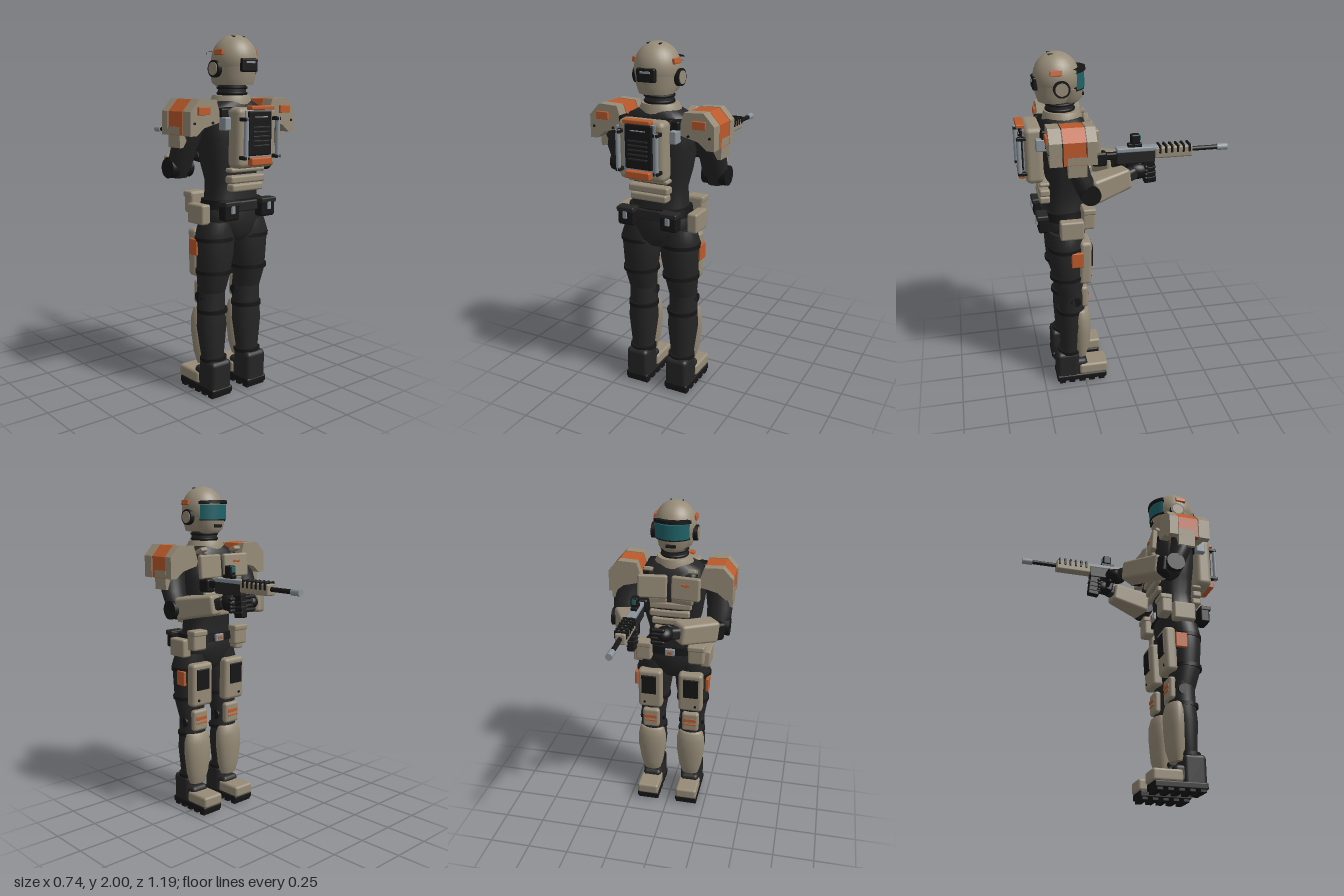
import * as THREE from 'three';
import { RoundedBoxGeometry } from 'three/addons/geometries/RoundedBoxGeometry.js';

const M = {};
for (const [name, color] of Object.entries({
  tan: 0x968b77, dark: 0x252526, black: 0x161617, orange: 0xbc5a2a, steel: 0x8a939a, teal: 0x1f6268,
})) M[name] = Object.assign(new THREE.MeshStandardMaterial({ color }), { name });

export function createModel() {
  const root = new THREE.Group();
  root.name = 'armouredSoldier';

  function add(name, geo, mat, x = 0, y = 0, z = 0, rx = 0, ry = 0, rz = 0) {
    const m = new THREE.Mesh(geo, mat);
    m.name = name;
    m.position.set(x, y, z);
    m.rotation.set(rx, ry, rz);
    root.add(m);
    return m;
  }
  // Rounded box given by centre and size
  const box = (name, mat, x, y, z, w, h, d, r = 0.01, ...rot) =>
    add(name, new RoundedBoxGeometry(w, h, d, 2, Math.min(r, w / 2.1, h / 2.1, d / 2.1)), mat, x, y, z, ...rot);
  const cyl = (name, mat, x, y, z, r0, r1, h, ...rot) =>
    add(name, new THREE.CylinderGeometry(r0, r1, h, 20), mat, x, y, z, ...rot);

  // Loft through rounded cross-sections [y, cx, cz, rx, rz], bottom to top
  function loft(name, mat, secs, power = 1, n = 28) {
    const pos = [], idx = [];
    const ring = ([y, cx, cz, rx, rz]) => {
      for (let j = 0; j < n; j++) {
        const a = (j / n) * Math.PI * 2, c = Math.cos(a), s = Math.sin(a);
        pos.push(cx + rx * Math.sign(c) * Math.abs(c) ** power, y, cz + rz * Math.sign(s) * Math.abs(s) ** power);
      }
    };
    secs.forEach(ring);
    for (let i = 0; i < secs.length - 1; i++) for (let j = 0; j < n; j++) {
      const a = i * n + j, b = i * n + (j + 1) % n;
      idx.push(a, a + n, b, b, a + n, b + n);
    }
    for (const top of [false, true]) {
      const s = top ? secs[secs.length - 1] : secs[0], base = pos.length / 3;
      ring(s);
      pos.push(s[1], s[0], s[2]);
      for (let j = 0; j < n; j++) {
        const a = base + j, b = base + (j + 1) % n;
        idx.push(base + n, top ? b : a, top ? a : b);
      }
    }
    const g = new THREE.BufferGeometry();
    g.setAttribute('position', new THREE.Float32BufferAttribute(pos, 3));
    g.setIndex(idx);
    g.computeVertexNormals();
    return add(name, g, mat);
  }
  // Polygon in x,y extruded from z0 to z1; side s mirrors it
  function slab(name, mat, pts, z0, z1, s, k = 1) {
    const shape = new THREE.Shape(pts.map(([x, y]) => new THREE.Vector2(s * (0.27 + (x - 0.27) * k), 1.57 + (y - 1.57) * k)));
    return add(name, new THREE.ExtrudeGeometry(shape, { depth: z1 - z0, bevelEnabled: false }), mat, 0, 0, z0);
  }
  // Tapered rounded beam between two points
  function beam(name, mat, a, b, w0, w1, h0, h1, r = 0.02) {
    const A = new THREE.Vector3(...a), B = new THREE.Vector3(...b), L = A.distanceTo(B);
    const g = new RoundedBoxGeometry(1 * w0, h0, L, 3, r), p = g.attributes.position;
    for (let i = 0; i < p.count; i++) {
      const t = p.getZ(i) / L + 0.5;
      p.setX(i, p.getX(i) * (1 + t * (w1 / w0 - 1)));
      p.setY(i, p.getY(i) * (1 + t * (h1 / h0 - 1)));
    }
    const m = add(name, g, mat);
    m.position.copy(A).lerp(B, 0.5);
    m.lookAt(B);
  }
  const ball = (name, mat, x, y, z, rx, ry = rx, rz = rx) =>
    add(name, new THREE.SphereGeometry(1, 28, 20), mat, x, y, z).scale.set(rx, ry, rz);

  // Helmet, facing -z
  ball('helmetDome', M.tan, 0, 1.865, 0.345, 0.123, 0.135, 0.127);
  loft('helmetSkirt', M.tan, [[1.735, 0, 0.36, 0.095, 0.09], [1.78, 0, 0.35, 0.112, 0.113], [1.87, 0, 0.345, 0.122, 0.126]]);
  loft('jawGuard', M.tan, [[1.725, 0, 0.29, 0.06, 0.06], [1.75, 0, 0.285, 0.085, 0.08], [1.81, 0, 0.29, 0.1, 0.09]]);
  box('mouthVent', M.black, 0, 1.77, 0.204, 0.06, 0.02, 0.012, 0.004);
  const arc = (r, h, half) => new THREE.CylinderGeometry(r, r, h, 24, 1, false, Math.PI - half, half * 2);
  add('visor', arc(0.12, 0.085, 1.0), M.teal, 0, 1.85, 0.312);
  add('visorBrim', arc(0.127, 0.018, 1.05), M.black, 0, 1.9, 0.312, 0.08);
  add('visorSill', arc(0.118, 0.012, 1.05), M.black, 0, 1.806, 0.312);
  box('helmetRearPanel', M.black, 0, 1.838, 0.464, 0.11, 0.072, 0.03);
  box('rearPanelLight', M.steel, 0, 1.853, 0.481, 0.06, 0.012, 0.004, 0.001);
  for (const s of [-1, 1]) {
    cyl('earRing', M.black, s * 0.124, 1.82, 0.333, 0.046, 0.046, 0.025, 0, 0, Math.PI / 2);
    cyl('earCap', M.tan, s * 0.131, 1.82, 0.333, 0.035, 0.035, 0.02, 0, 0, Math.PI / 2);
    box('helmetBadge', M.orange, s * 0.118, 1.905, 0.36, 0.018, 0.03, 0.065, 0.004, 0, 0, s * 0.25);
    box('crownVent', M.black, s * 0.035, 1.989, 0.375, 0.01, 0.008, 0.03, 0.003);
  }
  // Neck and torso
  cyl('neck', M.dark, 0, 1.71, 0.33, 0.075, 0.08, 0.12);
  for (const y of [1.69, 1.72]) add('neckRing', new THREE.TorusGeometry(0.077, 0.008, 8, 28), M.black, 0, y, 0.33, Math.PI / 2);
  loft('collar', M.tan, [[1.6, 0, 0.32, 0.125, 0.115], [1.65, 0, 0.32, 0.115, 0.11], [1.68, 0, 0.32, 0.1, 0.1]]);
  loft('torso', M.dark, [
    [1.04, 0, 0.33, 0.17, 0.11], [1.14, 0, 0.325, 0.155, 0.105], [1.22, 0, 0.32, 0.148, 0.105],
    [1.32, 0, 0.315, 0.175, 0.115], [1.45, 0, 0.31, 0.195, 0.135], [1.56, 0, 0.31, 0.2, 0.13],
    [1.62, 0, 0.32, 0.17, 0.12], [1.65, 0, 0.32, 0.11, 0.1]], 0.75);
  loft('pelvis', M.dark, [[0.89, 0, 0.34, 0.06, 0.07], [0.93, 0, 0.34, 0.13, 0.1], [1.0, 0, 0.335, 0.185, 0.115],
    [1.06, 0, 0.33, 0.18, 0.115], [1.11, 0, 0.33, 0.16, 0.105]]);
  box('vestHarness', M.black, 0, 1.57, 0.33, 0.32, 0.1, 0.27, 0.04);
  for (let i = 0; i < 4; i++)
    box('abdomenSlat', M.tan, 0, 1.415 - i * 0.055, 0.185 + i * 0.009, 0.27 - i * 0.025, 0.042, 0.035, 0.012);
  [[1.285, 0.24, 0.025], [1.235, 0.24, 0.042], [1.19, 0.22, 0.042]].forEach(([y, w, h]) =>
    box('lumbarSlat', M.tan, 0, y, 0.445, w, h, 0.06, 0.012));
  for (const s of [-1, 1]) {
    box('chestPlate', M.tan, s * 0.1, 1.535, 0.165, 0.175, 0.14, 0.035, 0.012, 0.08, s * 0.12);
    box('chestLowerPlate', M.tan, s * 0.08, 1.455, 0.17, 0.13, 0.04, 0.03, 0.01, -0.2, s * 0.12);
    box('chestStrap', M.tan, s * 0.13, 1.62, 0.22, 0.05, 0.025, 0.1, 0.008, 0.4);
    box('backStrut', M.steel, s * 0.16, 1.535, 0.46, 0.04, 0.07, 0.06, 0.008);
    box('backStrap', M.black, s * 0.155, 1.59, 0.42, 0.05, 0.05, 0.08);
  }
  box('chestBadge', M.orange, -0.1, 1.56, 0.146, 0.05, 0.014, 0.008, 0.002);
  // Backpack
  box('packBody', M.tan, 0, 1.46, 0.495, 0.27, 0.32, 0.1, 0.03);
  box('packFrame', M.steel, 0, 1.475, 0.545, 0.19, 0.26, 0.012, 0.004);
  box('packPanel', M.black, 0, 1.485, 0.555, 0.16, 0.235, 0.02, 0.008);
  for (let i = 0; i < 5; i++) box('packLouvre', M.dark, 0, 1.42 + i * 0.024, 0.568, 0.115, 0.01, 0.012, 0.003);
  box('packLabel', M.steel, 0, 1.57, 0.567, 0.09, 0.006, 0.005, 0.001);
  box('packTopGrip', M.orange, 0, 1.618, 0.56, 0.16, 0.022, 0.045, 0.006);
  box('packBottomGrip', M.orange, 0, 1.338, 0.56, 0.145, 0.042, 0.04, 0.008);
  for (const s of [-1, 1]) {
    cyl('packPipe', M.steel, s * 0.112, 1.46, 0.575, 0.013, 0.013, 0.22);
    for (const y of [1.36, 1.56]) box('pipeClamp', M.black, s * 0.112, y, 0.56, 0.03, 0.02, 0.055, 0.005);
  }
  // Belt and pouches
  loft('belt', M.black, [[1.07, 0, 0.33, 0.185, 0.125], [1.12, 0, 0.33, 0.178, 0.122]], 0.8);
  box('buckle', M.steel, 0, 1.095, 0.2, 0.06, 0.045, 0.02, 0.005);
  box('buckleTab', M.orange, 0, 1.095, 0.188, 0.03, 0.02, 0.008, 0.002);
  box('beltBackPack', M.dark, 0, 1.085, 0.445, 0.22, 0.06, 0.03);
  for (const s of [-1, 1]) {
    box('sidePouch', M.tan, s * 0.215, 1.045, 0.313, 0.06, 0.11, 0.135, 0.012);
    box('frontPouch', M.tan, s * 0.165, 1.095, 0.215, 0.1, 0.12, 0.07, 0.014);
    box('frontPouchFlap', M.tan, s * 0.165, 1.14, 0.21, 0.106, 0.035, 0.075, 0.01);
    box('rearPouch', M.black, s * 0.13, 1.07, 0.465, 0.1, 0.1, 0.06, 0.012);
    box('rearPouchFlap', M.dark, s * 0.13, 1.11, 0.47, 0.106, 0.03, 0.066, 0.008);
    box('pouchClip', M.steel, s * 0.13, 1.08, 0.5, 0.024, 0.042, 0.012, 0.003);
  }
  // Legs
  for (const s of [-1, 1]) {
    const x = s * 0.13;
    loft('thigh', M.dark, [[0.6, x, 0.32, 0.08, 0.075], [0.7, x, 0.335, 0.095, 0.09], [0.82, s * 0.122, 0.34, 0.108, 0.095],
      [0.93, s * 0.122, 0.34, 0.114, 0.1], [1.0, s * 0.115, 0.335, 0.095, 0.095]]);
    loft('calf', M.dark, [[0.15, x, 0.335, 0.062, 0.058], [0.24, x, 0.33, 0.07, 0.06], [0.4, x, 0.32, 0.09, 0.078],
      [0.5, x, 0.315, 0.082, 0.076], [0.62, x, 0.315, 0.08, 0.075]]);
    [[0.905, 0.114, 0.102, 0.34], [0.72, 0.105, 0.1, 0.338], [0.49, 0.088, 0.085, 0.322], [0.21, 0.077, 0.075, 0.335]]
      .forEach(([y, rx, rz, z]) => loft('legStrap', M.black, [[y - 0.011, x * 0.98, z, rx, rz], [y + 0.011, x * 0.98, z, rx, rz]]));
    box('thighPlate', M.tan, x, 0.815, 0.235, 0.155, 0.27, 0.07, 0.022, -0.03);
    box('thighPanel', M.black, s * 0.135, 0.85, 0.197, 0.095, 0.13, 0.014, 0.004, -0.03);
    cyl('thighBolt', M.black, s * 0.165, 0.72, 0.203, 0.008, 0.008, 0.01, Math.PI / 2);
    box('thighSideBadge', M.orange, s * 0.23, 0.858, 0.287, 0.02, 0.09, 0.07, 0.005);
    box('kneePlate', M.tan, x, 0.585, 0.245, 0.11, 0.135, 0.045, 0.018);
    box('kneeStripe', M.orange, x, 0.6, 0.222, 0.08, 0.022, 0.008, 0.002);
    box('kneeStripe', M.orange, x, 0.57, 0.222, 0.08, 0.01, 0.008, 0.002);
    cyl('kneeHinge', M.black, x, 0.57, 0.3, 0.03, 0.03, 0.16, 0, 0, Math.PI / 2);
    loft('shinGuard', M.tan, [[0.17, x, 0.27, 0.055, 0.035], [0.24, x, 0.268, 0.075, 0.055], [0.36, x, 0.265, 0.092, 0.06],
      [0.44, x, 0.265, 0.092, 0.06], [0.49, x, 0.268, 0.08, 0.05], [0.5, x, 0.27, 0.07, 0.04]]);
    box('bootShaft', M.dark, x, 0.115, 0.355, 0.138, 0.19, 0.135, 0.025);
    box('bootSole', M.black, x, 0.035, 0.272, 0.145, 0.04, 0.305, 0.01);
    box('bootInstep', M.dark, x, 0.1, 0.285, 0.12, 0.1, 0.1, 0.025);
    box('toeCap', M.tan, x, 0.085, 0.198, 0.14, 0.07, 0.175, 0.016);
    box('toeStrap', M.black, x, 0.122, 0.25, 0.1, 0.012, 0.03, 0.004);
    for (let i = 0; i < 5; i++) box('soleLug', M.black, x, 0.012, 0.15 + i * 0.061, 0.138, 0.024, 0.038, 0.005);
  }
  // Shoulders and arms
  const pad = [[0.17, 1.57], [0.2, 1.66], [0.31, 1.665], [0.37, 1.6], [0.37, 1.475], [0.33, 1.475], [0.28, 1.515], [0.18, 1.54]];
  for (const s of [-1, 1]) {
    slab('pauldronCore', M.black, pad, 0.2, 0.43, s, 0.94);
    slab('pauldronFront', M.tan, pad, 0.19, 0.243, s);
    slab('pauldronBand', M.orange, pad, 0.247, 0.367, s, 0.985);
    slab('pauldronRear', M.tan, pad, 0.373, 0.44, s);
    slab('armGuard', M.tan, [[0.37, 1.52], [0.366, 1.41], [0.345, 1.41], [0.29, 1.5], [0.3, 1.52]], 0.245, 0.345, s);
    box('pauldronBadge', M.orange, s * 0.288, 1.603, 0.445, 0.075, 0.042, 0.016, 0.003);
    for (const dx of [-0.06, 0.06]) cyl('pauldronBolt', M.black, s * (0.285 + dx), 1.54, 0.441, 0.007, 0.007, 0.008, Math.PI / 2);
    loft('upperArm', M.dark, [[1.24, s * 0.285, 0.225, 0.045, 0.04], [1.29, s * 0.288, 0.23, 0.07, 0.06], [1.4, s * 0.288, 0.275, 0.076, 0.06],
      [1.5, s * 0.275, 0.305, 0.08, 0.07], [1.6, s * 0.24, 0.315, 0.07, 0.07]]);
    cyl('elbowJoint', M.black, s * 0.29, 1.295, 0.225, 0.055, 0.055, 0.14, 0, 0, Math.PI / 2);
  }
  beam('rightForearm', M.tan, [0.27, 1.3, 0.22], [0.2, 1.335, -0.01], 0.155, 0.085, 0.135, 0.115);
  beam('leftForearm', M.tan, [-0.275, 1.295, 0.17], [-0.085, 1.325, 0.005], 0.12, 0.115, 0.13, 0.12);
  beam('leftCuff', M.black, [-0.31, 1.285, 0.2], [-0.26, 1.295, 0.15], 0.1, 0.1, 0.11, 0.11);
  beam('leftWrist', M.dark, [-0.1, 1.325, 0.02], [-0.04, 1.335, -0.03], 0.07, 0.065, 0.07, 0.07);
  beam('rightWrist', M.dark, [0.2, 1.335, 0], [0.18, 1.35, -0.06], 0.065, 0.06, 0.07, 0.07);
  // Hands with curled fingers
  ball('leftPalm', M.black, -0.02, 1.335, -0.04, 0.05, 0.045, 0.06);
  ball('rightPalm', M.black, 0.175, 1.35, -0.07, 0.035, 0.045, 0.06);
  for (let i = 0; i < 4; i++) {
    const f = new THREE.CapsuleGeometry(0.013, 0.06, 4, 10);
    add('leftFinger', f, M.black, 0.012, 1.372 - i * 0.025, -0.082, 0, 0, Math.PI / 2);
    add('rightFinger', f, M.black, 0.16, 1.375 - i * 0.022, -0.115, 0, 0, Math.PI / 2);
  }
  // Rifle along -z
  const gx = 0.145;
  box('receiver', M.dark, gx, 1.43, -0.065, 0.05, 0.075, 0.22, 0.008);
  box('upperReceiver', M.steel, gx, 1.472, -0.075, 0.054, 0.025, 0.24, 0.006);
  box('stockTube', M.black, gx, 1.44, 0.075, 0.035, 0.04, 0.08);
  box('stock', M.black, gx, 1.43, 0.14, 0.06, 0.08, 0.08, 0.014);
  box('handguard', M.tan, gx, 1.447, -0.28, 0.06, 0.065, 0.22, 0.01);
  for (let i = 0; i < 6; i++) box('handguardRib', M.black, gx, 1.468, -0.2 - i * 0.034, 0.072, 0.045, 0.012, 0.003);
  cyl('barrel', M.black, gx, 1.45, -0.46, 0.013, 0.013, 0.18, Math.PI / 2);
  cyl('muzzle', M.steel, gx, 1.45, -0.57, 0.019, 0.019, 0.06, Math.PI / 2);
  box('sightBase', M.black, gx, 1.495, -0.06, 0.035, 0.02, 0.08, 0.004);
  box('sight', M.black, gx, 1.53, -0.062, 0.042, 0.055, 0.05, 0.008);
  box('sightLens', M.teal, gx, 1.535, -0.089, 0.026, 0.03, 0.006, 0.002);
  box('pistolGrip', M.black, gx, 1.365, -0.04, 0.035, 0.1, 0.045, 0.01, 0.25);
  box('magazine', M.black, gx, 1.34, -0.143, 0.042, 0.14, 0.07, 0.008, 0.1);
  for (let i = 0; i < 3; i++) box('magazineRib', M.dark, gx, 1.3 + i * 0.03, -0.142, 0.048, 0.009, 0.076, 0.003, 0.1);
  return root;
}
